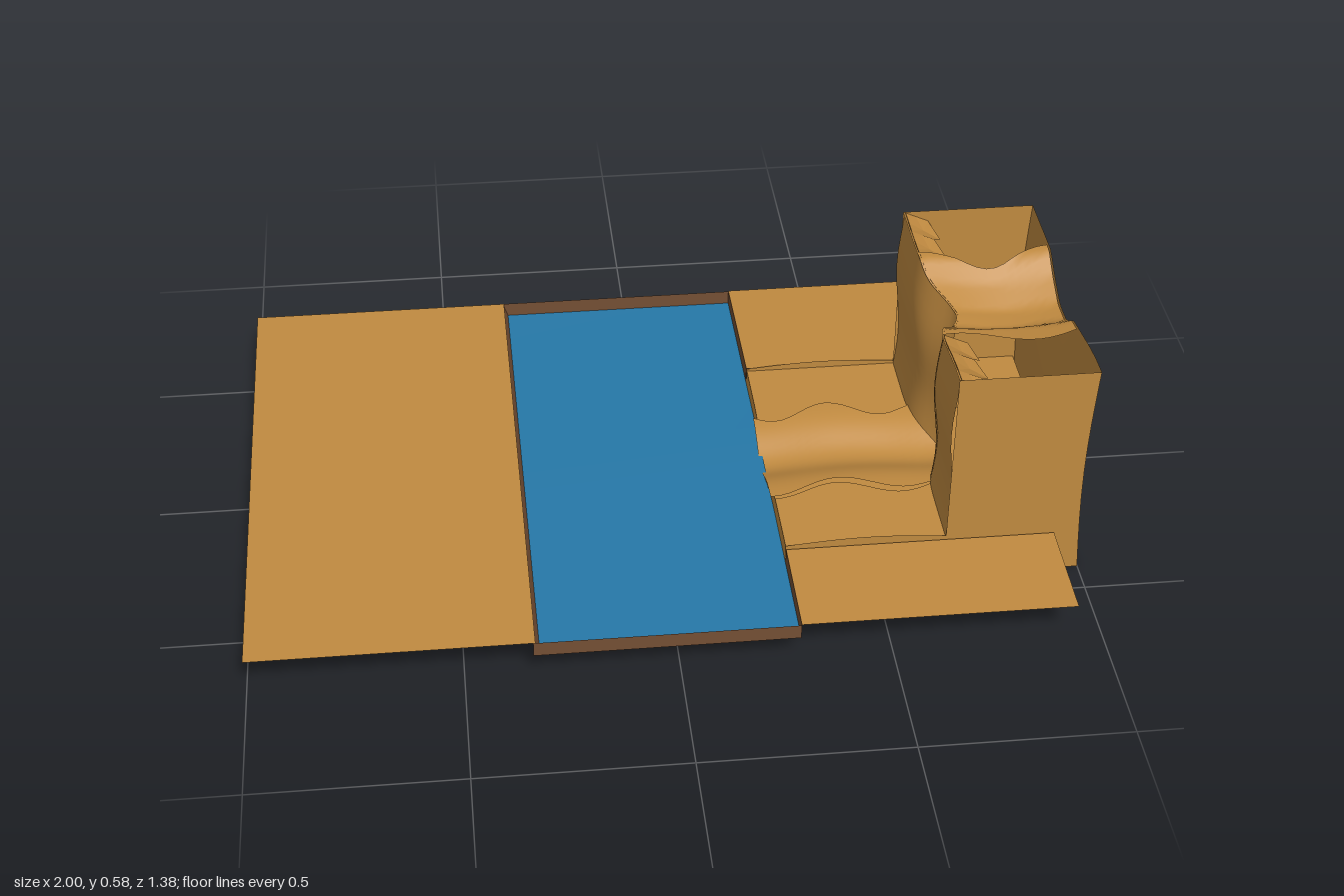
import * as THREE from 'three';

const mat = (name, color) => {
  const m = new THREE.MeshStandardMaterial({ color, side: THREE.DoubleSide });
  m.name = name;
  return m;
};

// Piecewise-linear lookup through [position, value] pairs
function lookup(points, t) {
  for (let i = 1; i < points.length; i++) {
    const [a, va] = points[i - 1], [b, vb] = points[i];
    if (t <= b) return va + (vb - va) * Math.max(0, (t - a) / (b - a));
  }
  return points[points.length - 1][1];
}

const lerp = THREE.MathUtils.lerp;
const Z0 = -0.305, Z1 = 0.42, X0 = 0.28, X1 = 1, FLOOR = 0.115;

// Skyline of the rock: high shoulders with a notch in the middle
const skyline = z => lookup([
  [-0.305, 0.582], [-0.1, 0.58], [-0.04, 0.54], [0.03, 0.506], [0.1, 0.506],
  [0.155, 0.545], [0.3, 0.572], [0.36, 0.58], [0.42, 0.582]], z);
const dip = z => Math.exp(-(((z - 0.05) / 0.085) ** 2));
const cliffX = z => 0.668 + 0.07 * dip(z);
// Low apron in front of the cliff, with a shallow channel
const apronY = (x, z) => 0.122 + 0.012 * Math.sin(Math.PI * Math.min(1, Math.max(0, (x - X0) / 0.4))) - 0.048 * dip(z);
// Wavy banks of the channel
const bankA = x => -0.1 + 0.025 * Math.sin(x * 24);
const bankB = x => 0.205 + 0.025 * Math.sin(x * 20 + 2.2);
const crown = z => 0.11 + 0.02 * (1 - Math.abs(z) / 0.69);

export function createModel() {
  const model = new THREE.Group();
  const sand = mat('sand', 0xc08a40);
  const earth = mat('dark earth', 0x744f34);
  const water = mat('water blue', 0x2678a8);

  // Sheet from a rule (u, v) -> [x, y, z]
  function sheet(name, material, nu, nv, rule, parent = model, flat = false) {
    const pos = [], index = [];
    for (let j = 0; j <= nv; j++) {
      for (let i = 0; i <= nu; i++) {
        pos.push(...rule(i / nu, j / nv));
        if (i < nu && j < nv) {
          const a = j * (nu + 1) + i, b = a + nu + 1;
          index.push(a, b, a + 1, b, b + 1, a + 1);
        }
      }
    }
    let g = new THREE.BufferGeometry();
    g.setAttribute('position', new THREE.Float32BufferAttribute(pos, 3));
    g.setIndex(index);
    if (flat) g = g.toNonIndexed();
    g.computeVertexNormals();
    const mesh = new THREE.Mesh(g, material);
    mesh.name = name;
    parent.add(mesh);
    return mesh;
  }

  // Flat ground on the far side of the river
  sheet('farBank', sand, 1, 1, (u, v) => [lerp(-1, -0.335, u), 0.108, lerp(-0.69, 0.69, v)]);
  // Ground strips either side of the rock
  for (const [name, a, b] of [['backBank', -0.69, Z0 - 0.003], ['frontBank', Z1 + 0.008, 0.69]]) {
    sheet(name, sand, 1, 1, (u, v) => {
      const z = lerp(a, b, v);
      return [lerp(X0, 0.93, u), crown(z), z];
    });
    sheet(name + 'Edge', earth, 1, 1, (u, v) => {
      const z = lerp(a, b, v);
      return [X0, lerp(0.07 + 0.6 * (crown(z) - 0.11), crown(z), u), z];
    });
  }

  // River bed with its rim
  sheet('river', water, 1, 12, (u, v) => {
    const z = lerp(-0.69, 0.69, v);
    return [lerp(-0.325, X0, u), 0.07 + 0.6 * u * (crown(z) - 0.11), z];
  });
  sheet('farRiverEdge', earth, 1, 1, (u, v) => [lerp(-0.325, -0.338, u), lerp(0.07, 0.108, u), lerp(-0.69, 0.69, v)]);
  for (const z of [-0.69, 0.69]) {
    sheet('riverEndEdge', earth, 1, 1, (u, v) => [lerp(-0.34, X0, u), lerp(0.07, 0.108, v), z]);
  }

  // Rock: outer walls
  const rock = new THREE.Group();
  rock.name = 'rock';
  model.add(rock);
  for (const z of [Z0, Z1]) {
    sheet('apronSideWall', sand, 12, 1, (u, v) => {
      const x = lerp(X0, 0.668, u);
      return [x, v * apronY(x, z), z];
    }, rock);
    sheet('towerSideWall', sand, 6, 8, (u, v) => [
      lerp(0.668, X1, u) - 0.012 * u * Math.sin(Math.PI * v), 0.582 * v, z], rock);
  }
  sheet('outerWall', sand, 40, 8, (u, v) => {
    const z = lerp(Z0, Z1, u);
    return [X1 - 0.012 * Math.sin(Math.PI * v), v * skyline(z), z];
  }, rock);
  sheet('riverFace', sand, 30, 1, (u, v) => {
    const z = lerp(Z0, Z1, u);
    return [X0 - 0.01 * dip(z) * v, v * apronY(X0, z), z];
  }, rock);
  sheet('cliffFace', sand, 40, 12, (u, v) => {
    const z = lerp(Z0, Z1, u), x = cliffX(z);
    return [x + 0.008 * Math.sin(v * 7), lerp(apronY(x, z) - 0.01, skyline(z), v), z];
  }, rock);
  sheet('underside', sand, 1, 1, (u, v) => [lerp(X0, X1, u), 0, lerp(Z0, Z1, v)], rock);

  // Rock: sunken floors beside the channel
  for (const [a, b] of [[() => Z0, bankA], [bankB, () => Z1]]) {
    sheet('sunkenFloor', sand, 30, 1, (u, v) => {
      const x = lerp(X0, 0.988, u);
      return [x, FLOOR, lerp(a(x), b(x), v)];
    }, rock);
  }

  // Rock: smooth channel, low in front and high on top
  sheet('lowerChannel', sand, 20, 20, (u, v) => {
    const x = lerp(X0 - 0.01, 0.74, u), z = lerp(bankA(x), bankB(x), v);
    return [x, apronY(x, z), z];
  }, rock);
  sheet('upperChannel', sand, 14, 24, (u, v) => {
    const s = lerp(0.7, 0.99, u), z = lerp(bankA(s), bankB(s), v);
    const x = lerp(cliffX(z), 0.995, u);
    return [x, skyline(z) - 0.012 * Math.sin(Math.PI * u), z];
  }, rock);

  // Rock: broken lip along the cliff top
  for (const [a, b] of [[Z0, -0.09], [0.19, Z1]]) {
    sheet('brokenLip', sand, 2, 5, (u, v) => {
      const z = lerp(a, b, v), k = Math.round(v * 5) % 2;
      const x = cliffX(z) + u * (0.065 + 0.025 * k);
      return [x, skyline(z) - u * (0.03 + 0.03 * k), z];
    }, rock, true);
  }
  return model;
}
